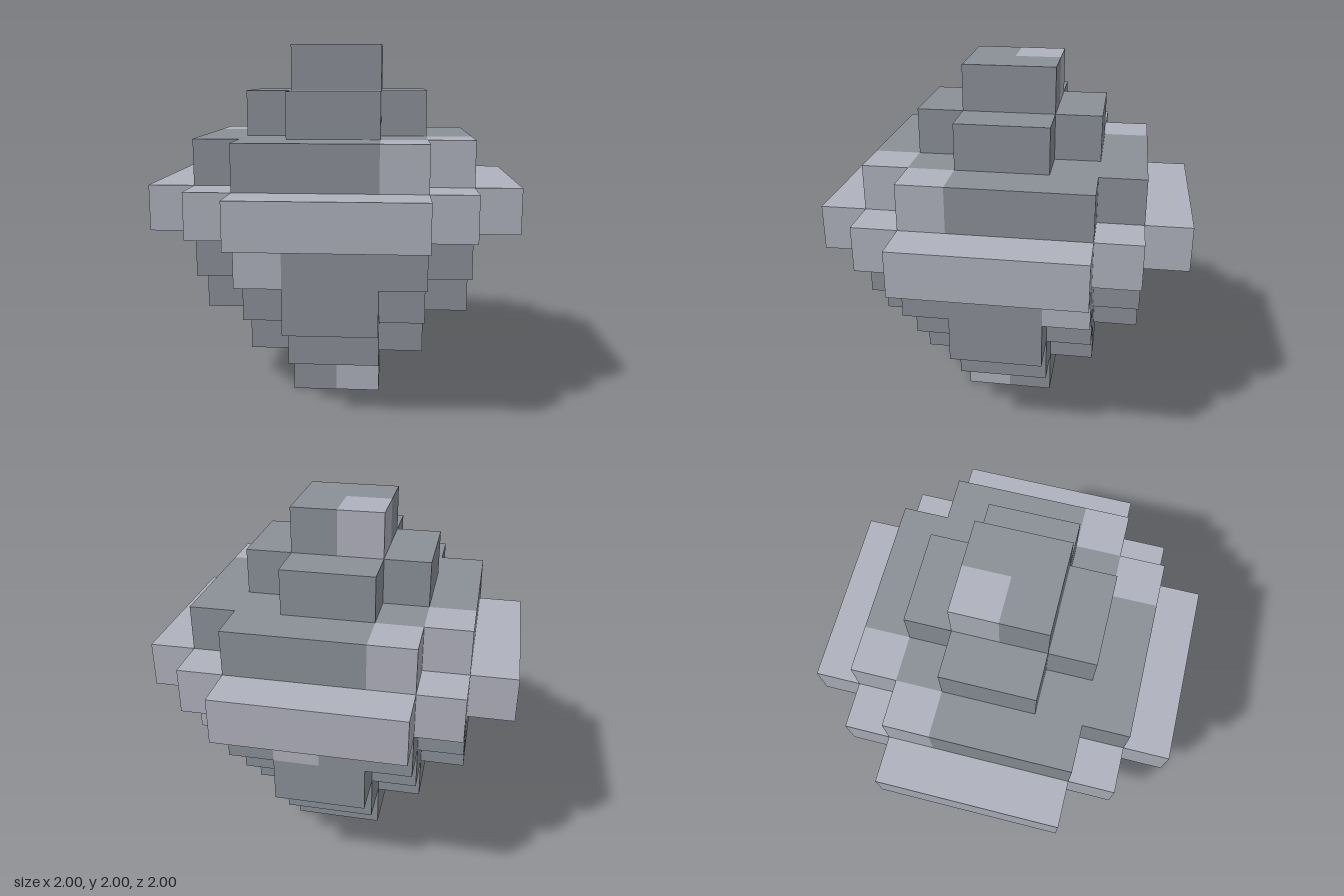
import * as THREE from 'three';
import { mergeGeometries } from 'three/addons/utils/BufferGeometryUtils.js';

const S = 0.25; // edge of one block

// Bottom to top. rows: half-width in blocks for each row away from the centre.
// pale: [x, z] blocks in the light colour, or true for the whole layer.
const LAYERS = [
  { name: 'bottomTip', rows: [1], pale: [[0, 0]] },
  { name: 'lowerCross', rows: [2, 1], pale: [] },
  { name: 'lowerStep', rows: [3, 2, 1], pale: [] },
  { name: 'lowerBody', rows: [3, 3, 2], pale: [[-2, 2], [2, -2], [0, -3], [-3, 0]] },
  { name: 'middleRing', rows: [4, 4, 3, 2], pale: true },
  { name: 'upperBody', rows: [3, 3, 2], pale: [[-3, -2], [-2, -3], [2, 1], [1, 2]] },
  { name: 'upperCross', rows: [2, 1], pale: [] },
  { name: 'topCap', rows: [1], pale: [[-1, -1]] },
];

// Distance of a block from the centre line: 0 for the two middle blocks
const ring = (i) => (i < 0 ? -i - 1 : i);

function filled(x, y, z) {
  const layer = LAYERS[y];
  return !!layer && ring(x) < (layer.rows[ring(z)] ?? 0);
}

const isPale = ({ pale }, x, z) => pale === true || pale.some(([a, b]) => a === x && b === z);

// One square per side of a block, facing outwards
const SIDES = [
  [1, 0, 0], [-1, 0, 0], [0, 1, 0], [0, -1, 0], [0, 0, 1], [0, 0, -1],
].map((d) => {
  const square = new THREE.PlaneGeometry(S, S);
  if (d[1]) square.rotateX(-d[1] * Math.PI / 2);
  else square.rotateY(d[0] ? d[0] * Math.PI / 2 : d[2] < 0 ? Math.PI : 0);
  square.translate(d[0] * S / 2, d[1] * S / 2, d[2] * S / 2);
  return { d, square };
});

export function createModel() {
  const materials = {
    Stone: new THREE.MeshStandardMaterial({ color: 0x8b9098 }),
    Pale: new THREE.MeshStandardMaterial({ color: 0xb0b2be }),
  };
  for (const key in materials) materials[key].name = key === 'Stone' ? 'dark stone' : 'pale stone';

  const model = new THREE.Group();
  model.name = 'blockCrystal';

  LAYERS.forEach((layer, y) => {
    const group = new THREE.Group();
    group.name = layer.name;
    const faces = { Stone: [], Pale: [] };

    // Keep only the sides that touch no other block
    for (let x = -4; x < 4; x++) {
      for (let z = -4; z < 4; z++) {
        if (!filled(x, y, z)) continue;
        const list = faces[isPale(layer, x, z) ? 'Pale' : 'Stone'];
        for (const { d, square } of SIDES) {
          if (filled(x + d[0], y + d[1], z + d[2])) continue;
          list.push(square.clone().translate((x + 0.5) * S, (y + 0.5) * S, (z + 0.5) * S));
        }
      }
    }

    for (const key in faces) {
      if (!faces[key].length) continue;
      const mesh = new THREE.Mesh(mergeGeometries(faces[key]), materials[key]);
      mesh.name = layer.name + key;
      group.add(mesh);
    }
    model.add(group);
  });

  return model;
}
